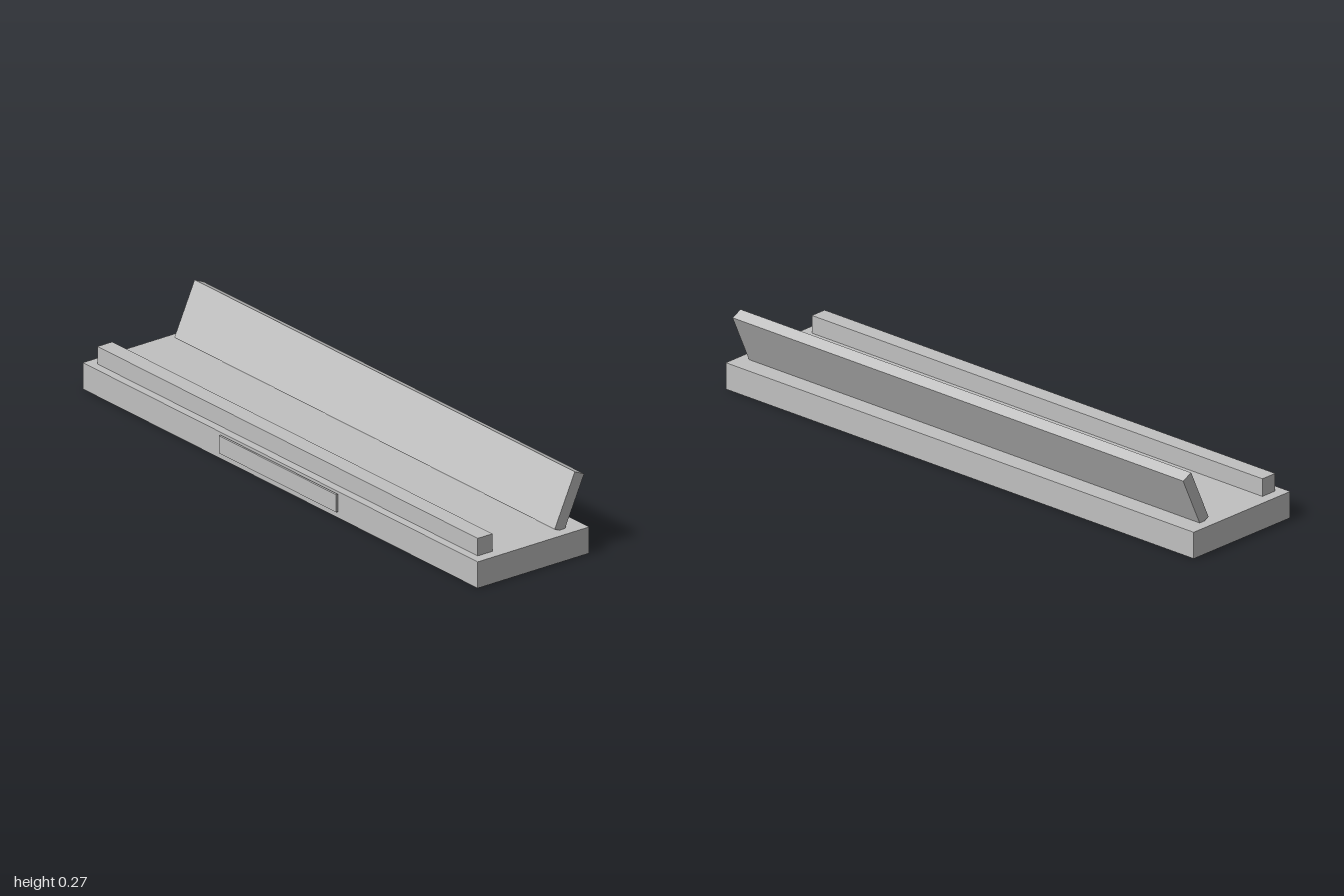
import * as THREE from 'three';

export function createModel() {
  const model = new THREE.Group();
  model.name = 'slottedStand';

  const grey = new THREE.MeshStandardMaterial({ color: 0xc0c0c0 });
  grey.name = 'light grey';

  // Adds a named box by size and centre
  const addBox = (name, [w, h, d], [x, y, z]) => {
    const mesh = new THREE.Mesh(new THREE.BoxGeometry(w, h, d), grey);
    mesh.name = name;
    mesh.position.set(x, y, z);
    model.add(mesh);
    return mesh;
  };

  // Base slab
  addBox('base', [2, 0.09, 0.446], [0, 0.045, 0]);

  // Low lip along the front
  addBox('frontLip', [1.926, 0.06, 0.059], [0, 0.12, 0.164]);

  // Back rest, leaning backwards with its foot sunk into the base
  const backRest = addBox('backRest', [1.926, 0.193, 0.041], [0, 0.1775, -0.173]);
  backRest.rotation.x = -0.43;

  // Thin plate held just off the front face
  addBox('frontPlate', [0.594, 0.06, 0.007], [0, 0.053, 0.2305]);

  return model;
}
